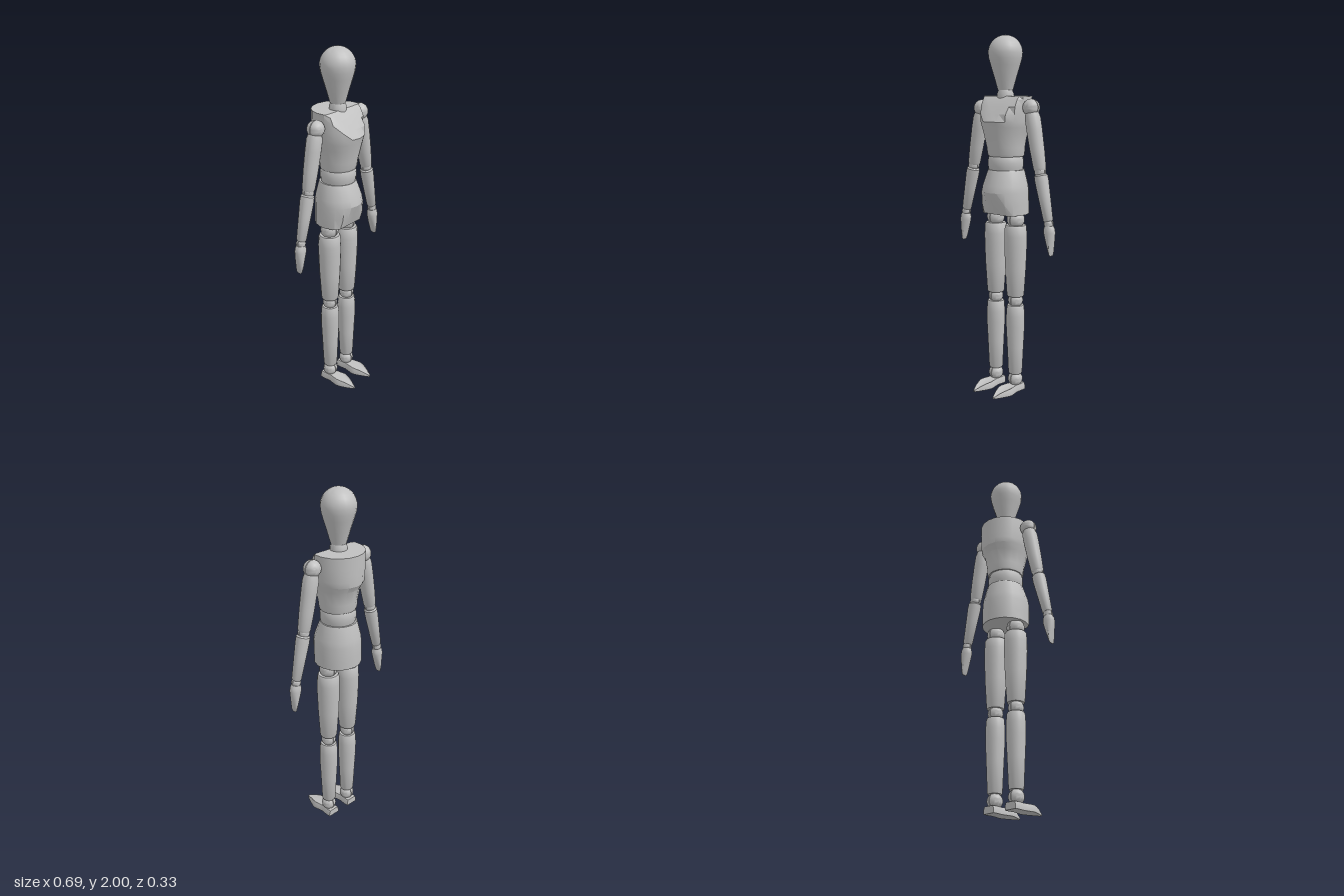
import * as THREE from 'three';
import { toCreasedNormals, mergeVertices } from 'three/addons/utils/BufferGeometryUtils.js';

const SIDES = 18;
const CZ = -0.02; // depth of the body's axis
const UP = new THREE.Vector3(0, 1, 0);

const grey = new THREE.MeshStandardMaterial({ color: 0xc0c0c0 });
grey.name = 'bodyGrey';

function addMesh(parent, name, geometry, crease = 0.6) {
  const mesh = new THREE.Mesh(toCreasedNormals(geometry, crease), grey);
  mesh.name = name;
  parent.add(mesh);
  return mesh;
}

// Solid from stacked elliptical rings [y, halfWidth, zBack, zFront, zCut], zCut flattens the front
function loft(rings) {
  const pos = [], idx = [];
  for (const [y, rx, zb, zf, cut = 9] of rings) {
    for (let i = 0; i < SIDES; i++) {
      const a = (i / SIDES) * Math.PI * 2;
      pos.push(rx * Math.sin(a), y, Math.min(cut, (zb + zf) / 2 + (zf - zb) / 2 * Math.cos(a)));
    }
  }
  const last = rings.length - 1, bottom = pos.length / 3;
  for (const k of [0, last]) {
    const [y, , zb, zf, cut = 9] = rings[k];
    pos.push(0, y, (zb + Math.min(zf, cut)) / 2);
  }
  for (let i = 0; i < SIDES; i++) {
    const j = (i + 1) % SIDES;
    for (let k = 0; k < last; k++) {
      const a = k * SIDES + i, b = k * SIDES + j;
      idx.push(a, b, a + SIDES, b, b + SIDES, a + SIDES);
    }
    idx.push(bottom, j, i, bottom + 1, last * SIDES + i, last * SIDES + j);
  }
  const g = new THREE.BufferGeometry();
  g.setAttribute('position', new THREE.Float32BufferAttribute(pos, 3));
  g.setIndex(idx);
  return g;
}

// Turned solid from [radius, height] pairs listed upwards, closed at both ends
function turned(profile) {
  const p = [[0, profile[0][1]], ...profile, [0, profile[profile.length - 1][1]]];
  return new THREE.LatheGeometry(p.map(([r, y]) => new THREE.Vector2(r, y)), SIDES);
}

// Limb segment between two points, profile heights run 0 (bottom) to 1 (top)
function limb(parent, name, top, bottom, profile) {
  const dir = top.clone().sub(bottom), len = dir.length();
  const mesh = addMesh(parent, name, turned(profile.map(([r, t]) => [r, t * len])));
  mesh.position.copy(bottom);
  mesh.quaternion.setFromUnitVectors(UP, dir.normalize());
  return mesh;
}

// Joint ball with a narrow slot round its middle
function joint(parent, name, at, r, axis) {
  const pts = [], n = 6, gap = 0.002;
  for (let i = 0; i <= n; i++) {
    const a = -Math.PI / 2 + (i / n) * (Math.PI / 2 - gap / r);
    pts.push(new THREE.Vector2(Math.max(0, r * Math.cos(a)), r * Math.sin(a)));
  }
  pts.push(new THREE.Vector2(r * 0.8, -gap));
  const upper = pts.map((p) => new THREE.Vector2(p.x, -p.y)).reverse();
  const g = new THREE.LatheGeometry([...pts, ...upper], SIDES);
  if (axis === 'x') g.rotateZ(Math.PI / 2);
  else g.rotateX(Math.PI / 2);
  addMesh(parent, name, g, 0.7).position.copy(at);
}

function footGeometry() {
  const half = [[0.036, -0.065], [0.038, -0.04], [0.034, 0], [0.04, 0.03], [0.046, 0.06],
    [0.043, 0.08], [0.034, 0.105], [0.021, 0.135], [0.006, 0.165]];
  const outline = [...half, ...half.map(([x, z]) => [-x, z]).reverse()];
  const shape = new THREE.Shape(outline.map(([x, z]) => new THREE.Vector2(x, -z)));
  const g = new THREE.ExtrudeGeometry(shape, { depth: 0.038, bevelEnabled: false, steps: 2 });
  g.rotateX(-Math.PI / 2);
  // The upper slopes down to the toe and is drawn in at its rim
  const p = g.attributes.position;
  for (let i = 0; i < p.count; i++) {
    const t = Math.max(0, (p.getZ(i) - 0.06) / 0.105);
    if (p.getY(i) > 0.03) p.setX(i, p.getX(i) * 0.82);
    p.setY(i, p.getY(i) * (1 - 0.72 * t * t));
  }
  g.deleteAttribute('uv');
  g.deleteAttribute('normal');
  return mergeVertices(g);
}

export function createModel() {
  const model = new THREE.Group();
  model.name = 'mannequin';
  const V = (x, y) => new THREE.Vector3(x, y, CZ);

  // Head: straight taper capped by a half ball
  const head = [[0.042, 1.708], [0.062, 1.778], [0.081, 1.84], [0.091, 1.875]];
  for (let i = 0; i < 8; i++) {
    const a = (i / 8) * Math.PI / 2;
    head.push([0.095 * Math.cos(a), 1.905 + 0.095 * Math.sin(a)]);
  }
  head.push([0.004, 2]);
  addMesh(model, 'head', turned(head)).position.z = CZ;
  addMesh(model, 'neck', turned([[0.046, 1.66], [0.046, 1.69], [0.036, 1.715]])).position.z = CZ;

  // Trunk
  addMesh(model, 'chest', loft([
    [1.35, 0.1, -0.12, 0.077], [1.365, 0.104, -0.124, 0.083], [1.4, 0.106, -0.126, 0.088],
    [1.475, 0.12, -0.14, 0.107], [1.51, 0.133, -0.163, 0.115], [1.54, 0.138, -0.165, 0.124],
    [1.58, 0.141, -0.165, 0.121, 0.093], [1.62, 0.143, -0.165, 0.121, 0.062],
    [1.66, 0.143, -0.165, 0.121, 0.03], [1.675, 0.143, -0.165, 0.121, 0.012],
  ]), 0.5).position.x = 0.005;
  addMesh(model, 'waist', turned([[0.092, 1.265], [0.098, 1.29], [0.1, 1.315], [0.097, 1.34],
    [0.09, 1.355]])).position.set(0.003, 0, CZ);
  addMesh(model, 'pelvis', loft([
    [1.03, 0.132, -0.15, 0.112, 0.066], [1.09, 0.132, -0.15, 0.116, 0.09],
    [1.155, 0.131, -0.15, 0.118], [1.19, 0.127, -0.145, 0.11],
    [1.262, 0.107, -0.128, 0.082], [1.275, 0.102, -0.124, 0.076],
  ]), 0.5).position.x = 0.003;

  for (const s of [-1, 1]) {
    // Arm
    const arm = new THREE.Group();
    arm.name = s > 0 ? 'leftArm' : 'rightArm';
    model.add(arm);
    const shift = s > 0 ? 0.008 : 0;
    const shoulder = V(s * 0.176 + shift, s > 0 ? 1.617 : 1.607);
    const elbow = V(s * 0.243 + shift * 0.8, 1.28);
    const wrist = V(s * 0.308 + shift * 0.4, 1.005);
    joint(arm, 'shoulderJoint', shoulder, 0.047, 'z');
    limb(arm, 'upperArm', shoulder.clone().lerp(elbow, 0.08), elbow.clone().lerp(shoulder, 0.02),
      [[0.031, 0], [0.035, 0.04], [0.04, 0.35], [0.043, 0.7], [0.043, 0.9], [0.036, 1]]);
    joint(arm, 'elbowJoint', elbow, 0.032, 'z');
    limb(arm, 'forearm', elbow.clone().lerp(wrist, 0.05), wrist.clone().lerp(elbow, 0.05),
      [[0.023, 0], [0.027, 0.03], [0.034, 0.55], [0.038, 0.85], [0.037, 0.97], [0.03, 1]]);
    joint(arm, 'wristJoint', wrist, 0.026, 'z');
    const hand = addMesh(arm, 'hand', loft([
      [-0.175, 0.002, -0.012, 0.012], [-0.165, 0.006, -0.02, 0.02], [-0.14, 0.012, -0.025, 0.025],
      [-0.1, 0.022, -0.028, 0.028], [-0.05, 0.033, -0.03, 0.03], [-0.03, 0.033, -0.029, 0.029],
      [-0.012, 0.025, -0.024, 0.024],
    ]));
    hand.position.copy(wrist);
    hand.rotation.z = s * 0.11;

    // Leg
    const leg = new THREE.Group();
    leg.name = s > 0 ? 'leftLeg' : 'rightLeg';
    model.add(leg);
    const x = s * 0.075 + 0.002;
    joint(leg, 'hipJoint', V(x, 1.0), 0.05, 'x');
    limb(leg, 'thigh', V(x, 0.97), V(x, 0.563),
      [[0.046, 0], [0.049, 0.02], [0.059, 0.4], [0.064, 0.72], [0.064, 0.85], [0.061, 0.98], [0.056, 1]]);
    joint(leg, 'kneeJoint', V(x, 0.537), 0.042, 'x');
    limb(leg, 'shin', V(x, 0.51), V(x, 0.103),
      [[0.037, 0], [0.04, 0.02], [0.047, 0.4], [0.053, 0.7], [0.053, 0.85], [0.049, 0.98], [0.045, 1]]);
    joint(leg, 'ankleJoint', V(x, 0.068), 0.042, 'x');
    addMesh(leg, 'foot', footGeometry(), 0.7).position.x = x;
  }
  return model;
}
